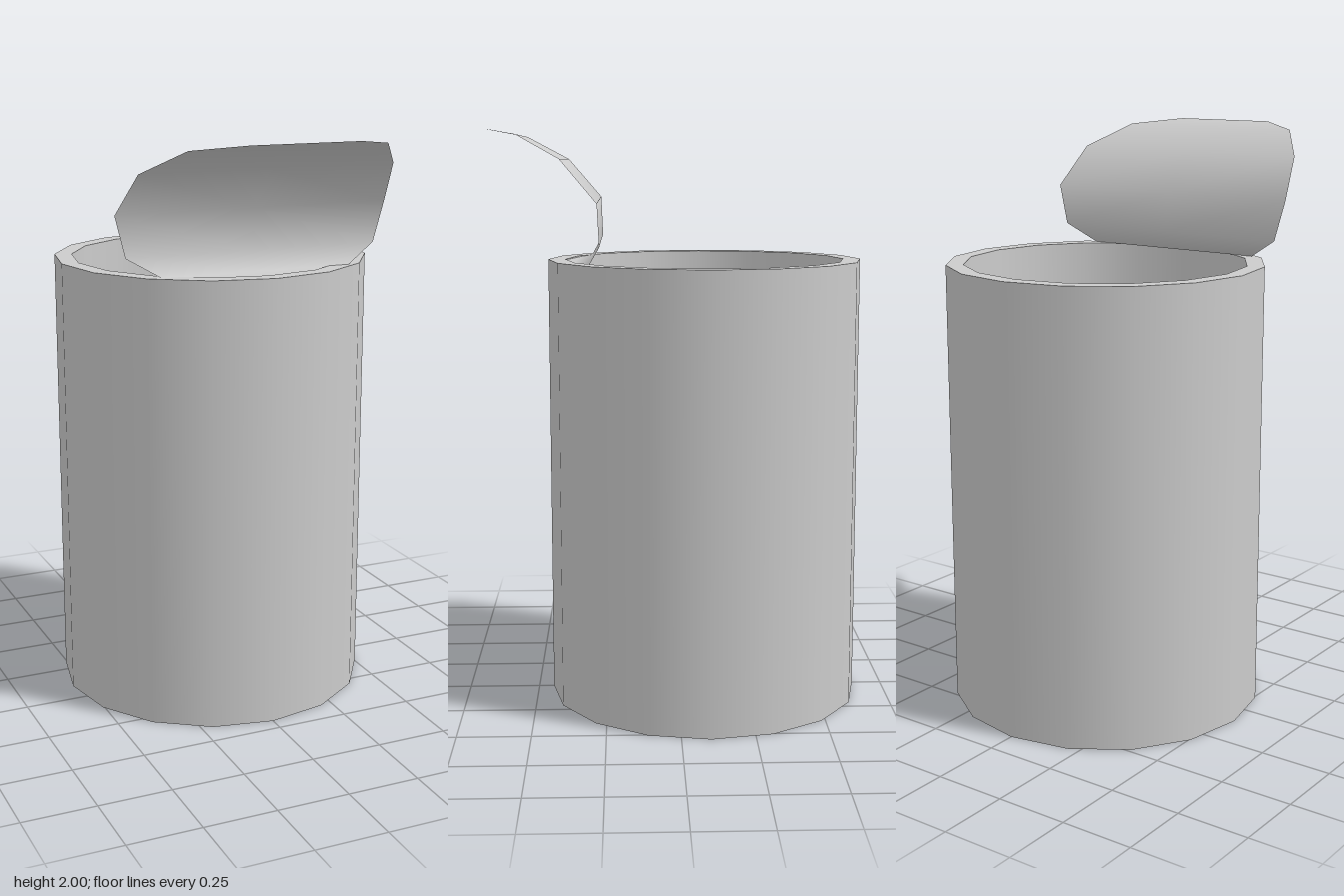
import * as THREE from 'three';

const SIDES = 16;
const OUTER = 0.547, INNER = 0.487, HEIGHT = 1.555, FLOOR = 0.06;
const CENTER_Z = -0.1;

const grey = new THREE.MeshStandardMaterial({ color: 0xcccccc });
const thinGrey = new THREE.MeshStandardMaterial({ color: 0xcccccc, side: THREE.DoubleSide });

// One straight profile segment turned around the can axis, so its edges stay sharp
function ring(name, r0, y0, r1, y1) {
  const points = [new THREE.Vector2(r0, y0), new THREE.Vector2(r1, y1)];
  const mesh = new THREE.Mesh(new THREE.LatheGeometry(points, SIDES), grey);
  mesh.name = name;
  return mesh;
}

// Thin sheet from rows of [half width, y, z]
function sheet(rows) {
  const positions = [], indices = [];
  rows.forEach(([w, y, z], i) => {
    positions.push(-w, y, z, 0, y, z, w, y, z);
    if (i === 0) return;
    for (let j = 0; j < 2; j++) {
      const a = (i - 1) * 3 + j, b = a + 3;
      indices.push(a, a + 1, b, b, a + 1, b + 1);
    }
  });
  const geometry = new THREE.BufferGeometry();
  geometry.setAttribute('position', new THREE.Float32BufferAttribute(positions, 3));
  geometry.setIndex(indices);
  geometry.computeVertexNormals();
  return geometry;
}

export function createModel() {
  const model = new THREE.Group();
  model.name = 'openCan';

  // Can body: closed base, thick wall, open top
  const body = new THREE.Group();
  body.name = 'body';
  body.position.z = CENTER_Z;
  body.add(
    ring('base', 0, 0, OUTER, 0),
    ring('outerWall', OUTER, 0, OUTER, HEIGHT),
    ring('rim', OUTER, HEIGHT, INNER, HEIGHT),
    ring('innerWall', INNER, HEIGHT, INNER, FLOOR),
    ring('floor', INNER, FLOOR, 0, FLOOR)
  );
  model.add(body);

  // Peeled lid, hinged at the front of the rim and curling forwards
  const lid = new THREE.Mesh(sheet([
    [0, 1.552, 0.386],
    [0.187, 1.55, 0.35],
    [0.34, 1.555, 0.298],
    [0.45, 1.62, 0.262],
    [0.487, 1.76, 0.268],
    [0.45, 1.9, 0.387],
    [0.344, 1.98, 0.534],
    [0.187, 2.0, 0.645],
  ]), thinGrey);
  lid.name = 'lid';
  model.add(lid);

  return model;
}
